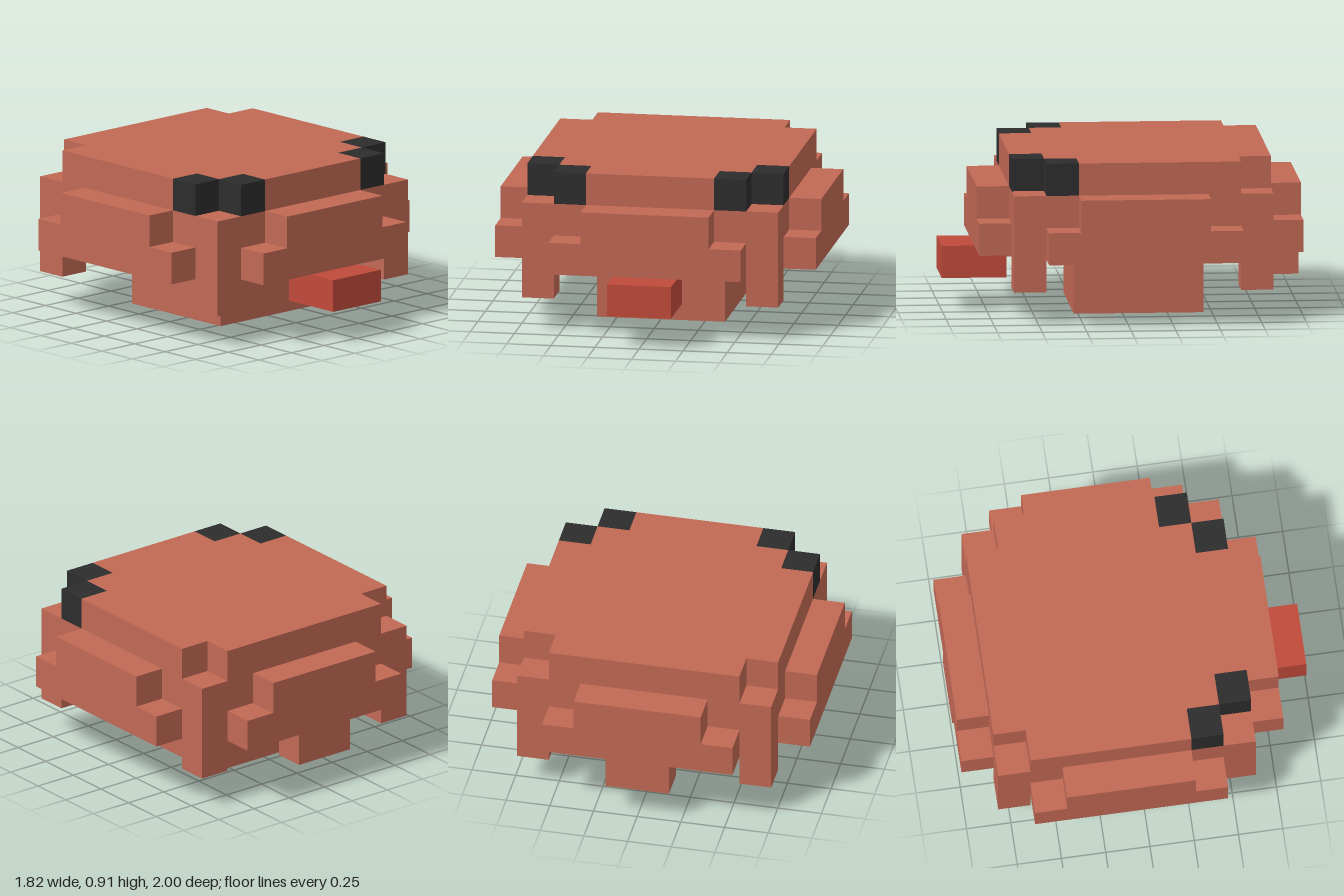
import * as THREE from 'three';

const U = 2 / 11; // edge of one block; all sizes below are in blocks

export function createModel() {
  const model = new THREE.Group();
  model.name = 'blockCreature';
  const skin = new THREE.MeshStandardMaterial({ color: 0xc16854 });
  skin.name = 'clay red';
  const black = new THREE.MeshStandardMaterial({ color: 0x2d2d2d });
  black.name = 'eye black';
  const red = new THREE.MeshStandardMaterial({ color: 0xc04a3a });
  red.name = 'tongue red';

  const add = (name, geometry, material) => {
    const mesh = new THREE.Mesh(geometry, material);
    mesh.name = name;
    model.add(mesh);
    return mesh;
  };
  // Box between two corners
  const box = (name, material, [x0, y0, z0], [x1, y1, z1]) => {
    const g = new THREE.BoxGeometry((x1 - x0) * U, (y1 - y0) * U, (z1 - z0) * U);
    g.translate((x0 + x1) / 2 * U, (y0 + y1) / 2 * U, (z0 + z1) / 2 * U);
    return add(name, g, material);
  };
  // Outline extruded one block deep
  const slab = (points) => {
    const shape = new THREE.Shape(points.map(([x, y]) => new THREE.Vector2(x * U, y * U)));
    return new THREE.ExtrudeGeometry(shape, { depth: U, bevelEnabled: false });
  };

  // Shell, lower body and tongue
  box('shell', skin, [-4, 2, -4.5], [4, 4, 3.5]);
  box('lowerBody', skin, [-2, 0, -2.5], [2, 2, 1.5]);
  box('tongue', red, [-1, 1, 3.5], [1, 2, 5.5]);

  // Crown with notched corners; front notches leave room for the eyes
  const right = [[3, 4.5], [3, 3.5], [4, 3.5], [4, -1.5], [3, -1.5], [3, -2.5], [2, -2.5], [2, -3.5]];
  const left = right.map(([x, y]) => [-x, y]).reverse();
  const crown = slab([...right, ...left]);
  crown.rotateX(-Math.PI / 2).translate(0, 4 * U, 0);
  add('crown', crown, skin);

  // Eyes and legs, mirrored
  for (const [side, s] of [['left', 1], ['right', -1]]) {
    const span = (a, b) => (s > 0 ? [a, b] : [-b, -a]);
    const [a, b] = span(3, 4);
    const [c, d] = span(2, 3);
    box(side + 'EyeOuter', black, [a, 4, 1.5], [b, 5, 2.5]);
    box(side + 'EyeInner', black, [c, 4, 2.5], [d, 5, 3.5]);
    box(side + 'FrontLeg', skin, [a, 1, 2.5], [b, 2, 3.5]);
    box(side + 'BackLeg', skin, [a, 1, -4.5], [b, 2, -3.5]);
  }

  // Stepped rim panels; the back one carries a short tail
  const upper = [[3, 2], [3, 3], [2, 3], [2, 4], [-2, 4], [-2, 3], [-3, 3], [-3, 2]];
  const tail = [[-1, 2], [-1, 1], [1, 1], [1, 2]];
  const rim = (name, points, angle, x, z) => {
    const mesh = add(name, slab(points), skin);
    mesh.rotation.y = angle;
    mesh.position.set(x * U, 0, z * U);
  };
  rim('frontRim', upper, 0, 0, 3.5);
  rim('backRim', [...upper, ...tail], Math.PI, 0, -4.5);
  rim('leftRim', upper, Math.PI / 2, 4, -0.5);
  rim('rightRim', upper, -Math.PI / 2, -4, -0.5);

  return model;
}
